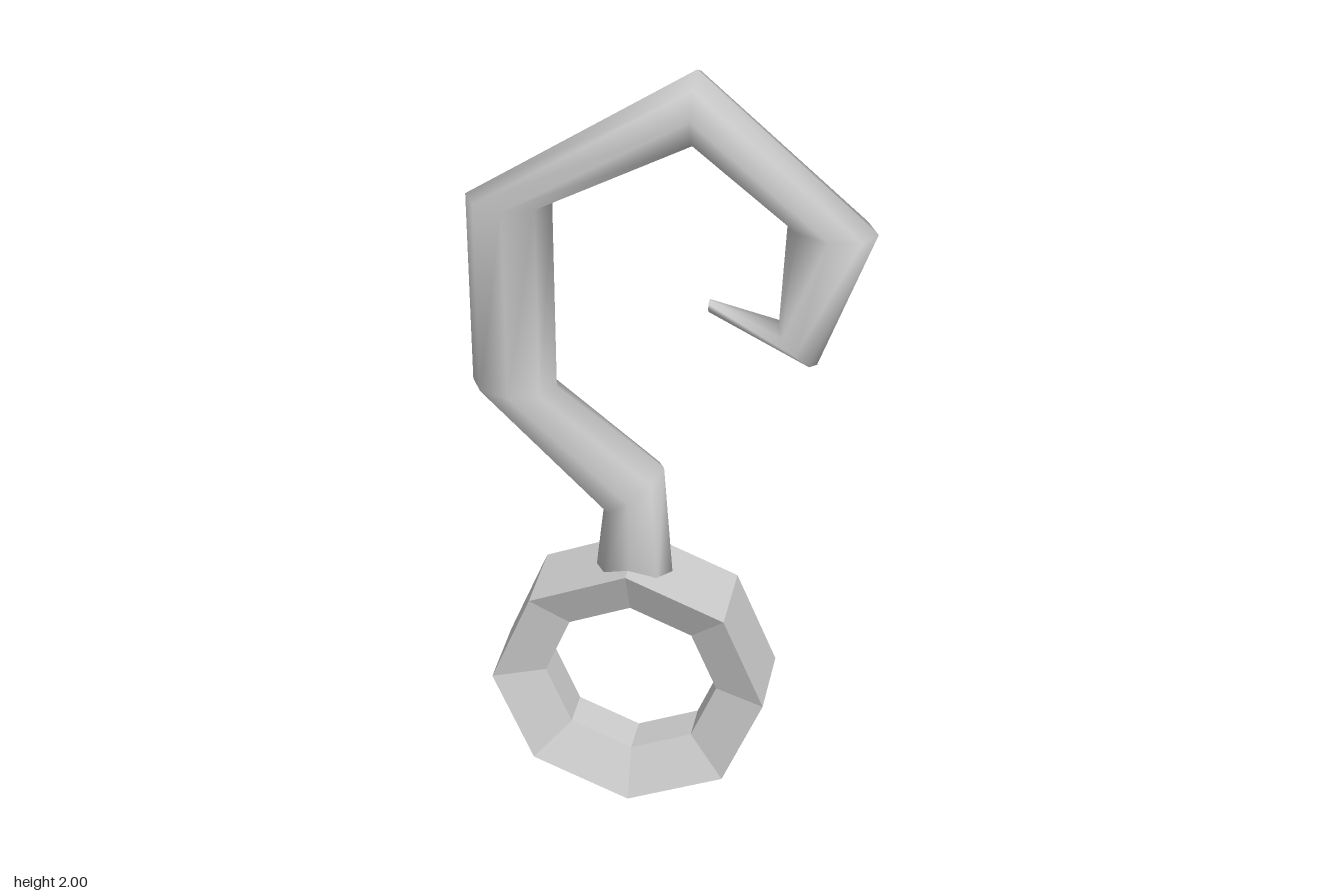
import * as THREE from 'three';

const SIDES = 8;

// Tube skinned over mitred cross-sections: [outer x, outer y, inner x, inner y, half depth]
function skinSections(sections, zMid) {
  const pos = [], index = [];
  for (const [ax, ay, bx, by, depth] of sections) {
    for (let j = 0; j < SIDES; j++) {
      const t = (j / SIDES) * Math.PI * 2;
      const k = 0.5 + 0.5 * Math.cos(t);
      pos.push(ax + (bx - ax) * k, ay + (by - ay) * k, zMid + depth * Math.sin(t));
    }
  }
  const last = (sections.length - 1) * SIDES;
  for (let i = 0; i < sections.length - 1; i++) {
    for (let j = 0; j < SIDES; j++) {
      const a = i * SIDES + j, b = i * SIDES + (j + 1) % SIDES;
      index.push(a, a + SIDES, b, b, a + SIDES, b + SIDES);
    }
  }
  // End caps
  for (let j = 1; j < SIDES - 1; j++) {
    index.push(0, j, j + 1);
    index.push(last, last + j + 1, last + j);
  }
  const geo = new THREE.BufferGeometry();
  geo.setAttribute('position', new THREE.Float32BufferAttribute(pos, 3));
  geo.setIndex(index);
  geo.computeVertexNormals();
  return geo;
}

export function createModel() {
  const group = new THREE.Group();
  group.name = 'hookWithRing';

  // Curved hook, tapering to a thin tip
  const hook = new THREE.Mesh(
    skinSections([
      [-0.187, 0.63, 0.007, 0.63, 0.076],
      [-0.165, 0.82, -0.015, 0.95, 0.077],
      [-0.48, 1.15, -0.275, 1.15, 0.077],
      [-0.48, 1.645, -0.275, 1.645, 0.077],
      [0.06, 2.0, 0.055, 1.815, 0.077],
      [0.477, 1.63, 0.27, 1.645, 0.077],
      [0.347, 1.278, 0.255, 1.375, 0.056],
      [0.092, 1.395, 0.092, 1.423, 0.018],
    ], -0.004),
    new THREE.MeshStandardMaterial({ color: 0xcccccc, side: THREE.DoubleSide })
  );
  hook.name = 'hook';
  group.add(hook);

  // Eight-sided ring whose section narrows towards the hole
  const outer = 0.344, inner = 0.218;
  const profile = [
    [inner, -0.05], [outer, -0.103], [outer, 0.103], [inner, 0.05], [inner, -0.05],
  ].map(([r, h]) => new THREE.Vector2(r, h));
  const ringGeo = new THREE.LatheGeometry(profile, 8).toNonIndexed();
  ringGeo.computeVertexNormals();
  ringGeo.rotateX(Math.PI / 2);
  const ring = new THREE.Mesh(
    ringGeo,
    new THREE.MeshStandardMaterial({ color: 0xcccccc, flatShading: true })
  );
  ring.name = 'ring';
  ring.position.set(-0.091, outer + 0.003, 0);
  group.add(ring);

  return group;
}
